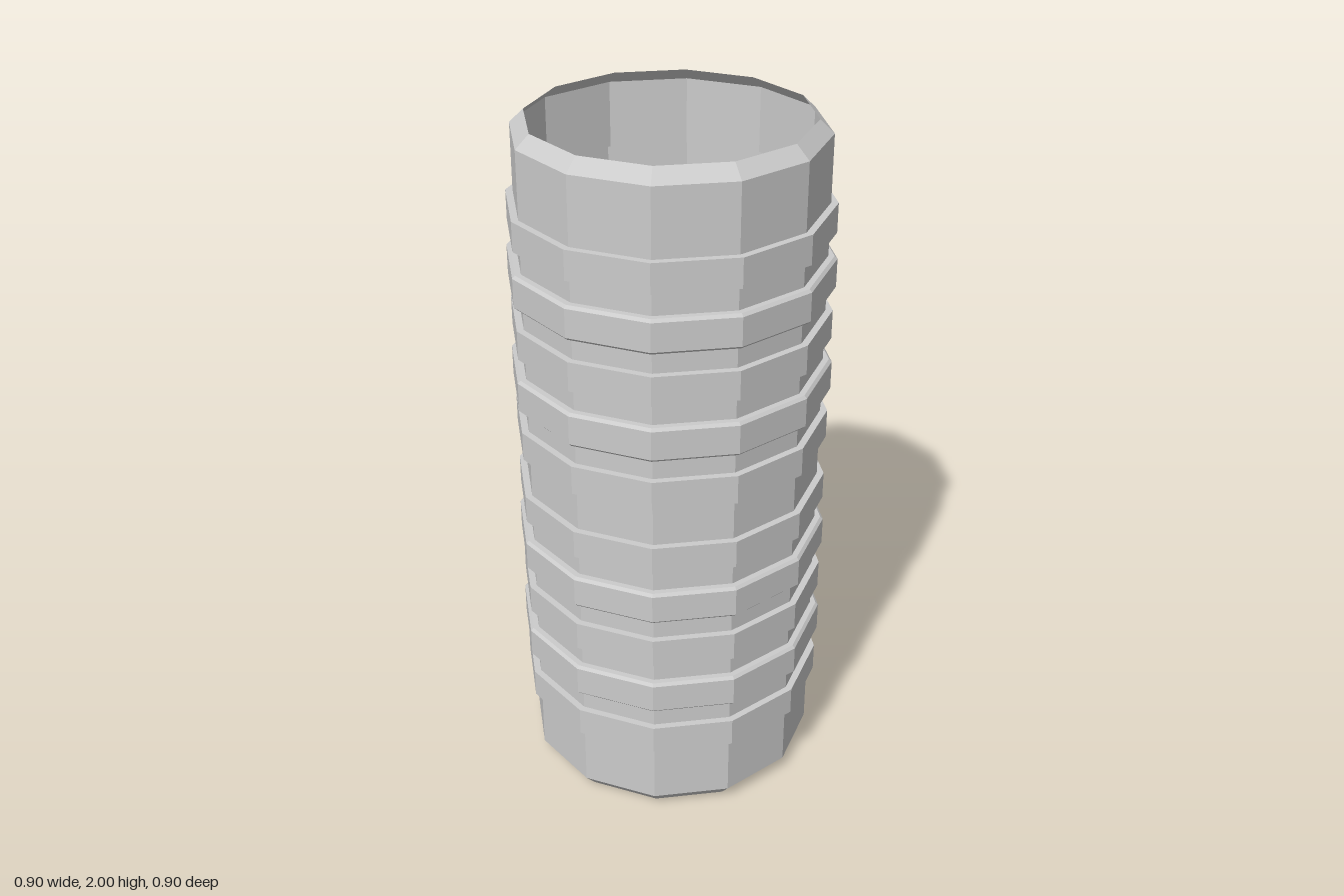
import * as THREE from 'three';

const SIDES = 12;
const WALL = 0.427;   // radius of the plain tube
const MOUTH = 0.388;  // radius at the open ends
const RIB = 0.447;    // radius of the square ribs
const BAND = 0.452;   // radius of the bevelled ribs
const BEVEL = 0.008;

// [bottom, top, bevelled] of each rib, from the lowest up
const ribs = [
  [0.235, 0.32, false], [0.383, 0.483, true], [0.547, 0.632, false], [0.695, 0.793, true], [0.86, 0.942, false],
  [1.065, 1.15, false], [1.213, 1.313, true], [1.377, 1.462, false], [1.525, 1.623, true], [1.69, 1.774, false],
];

export function createModel() {
  const group = new THREE.Group();
  group.name = 'ribbedTube';

  // Thin wall profile: inward lip, ribs stepping out, inward lip
  const profile = [[MOUTH, 0], [WALL, 0.045]];
  for (const [y0, y1, bevelled] of ribs) {
    if (bevelled) {
      profile.push([WALL, y0], [BAND - BEVEL, y0], [BAND, y0 + BEVEL],
        [BAND, y1 - BEVEL], [BAND - BEVEL, y1], [WALL, y1]);
    } else {
      profile.push([WALL, y0], [RIB, y0], [RIB, y1], [WALL, y1]);
    }
  }
  profile.push([WALL, 1.963], [MOUTH, 2]);

  // Open at both ends, so both sides of the sheet are visible
  const tube = new THREE.Mesh(
    new THREE.LatheGeometry(profile.map(([r, y]) => new THREE.Vector2(r, y)), SIDES),
    new THREE.MeshStandardMaterial({ color: 0xcccccc, flatShading: true, side: THREE.DoubleSide })
  );
  tube.name = 'tubeWall';
  group.add(tube);
  return group;
}
